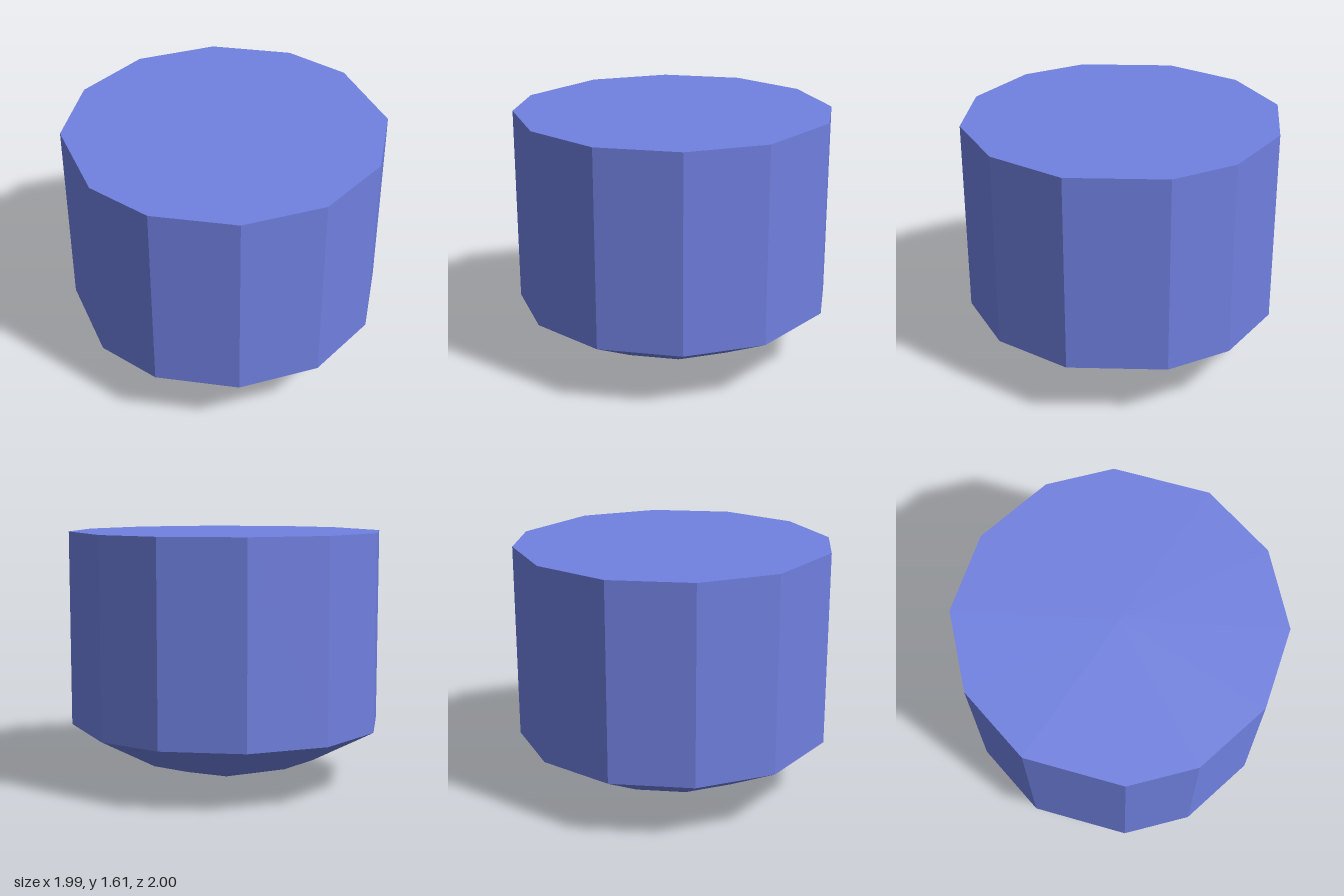
import * as THREE from 'three';

// Half of the twelve-sided outline as [x, z]; the other half is its half-turn.
const half = [[0, -1], [0.42, -0.91], [0.865, -0.5], [0.995, 0], [0.865, 0.5], [0.5, 0.86]];
const outline = [...half, ...half.map(([x, z]) => [-x, -z])];

// Joins scaled copies of the outline, given as [scale, y] from bottom to top.
function loft(name, rings, material) {
  const positions = [];
  const n = outline.length;
  const corner = ([scale, y], i) => {
    const [x, z] = outline[i % n];
    return [x * scale, y, z * scale];
  };
  for (let r = 0; r < rings.length - 1; r++) {
    const low = rings[r], high = rings[r + 1];
    for (let i = 0; i < n; i++) {
      if (high[0] > 0) positions.push(...corner(low, i), ...corner(high, i), ...corner(high, i + 1));
      if (low[0] > 0) positions.push(...corner(low, i), ...corner(high, i + 1), ...corner(low, i + 1));
    }
  }
  const geometry = new THREE.BufferGeometry();
  geometry.setAttribute('position', new THREE.Float32BufferAttribute(positions, 3));
  geometry.computeVertexNormals();
  const mesh = new THREE.Mesh(geometry, material);
  mesh.name = name;
  return mesh;
}

export function createModel() {
  const group = new THREE.Group();
  group.name = 'facetedBlock';
  const blue = new THREE.MeshStandardMaterial({ color: 0x7080e0, flatShading: true });

  // Shallow two-tier point underneath
  group.add(loft('pointedBase', [[0, 0], [0.6, 0.165], [1, 0.375]], blue));
  // Straight walls
  group.add(loft('wall', [[1, 0.375], [1, 1.61]], blue));
  // Flat lid
  group.add(loft('lid', [[1, 1.61], [0, 1.61]], blue));
  return group;
}
